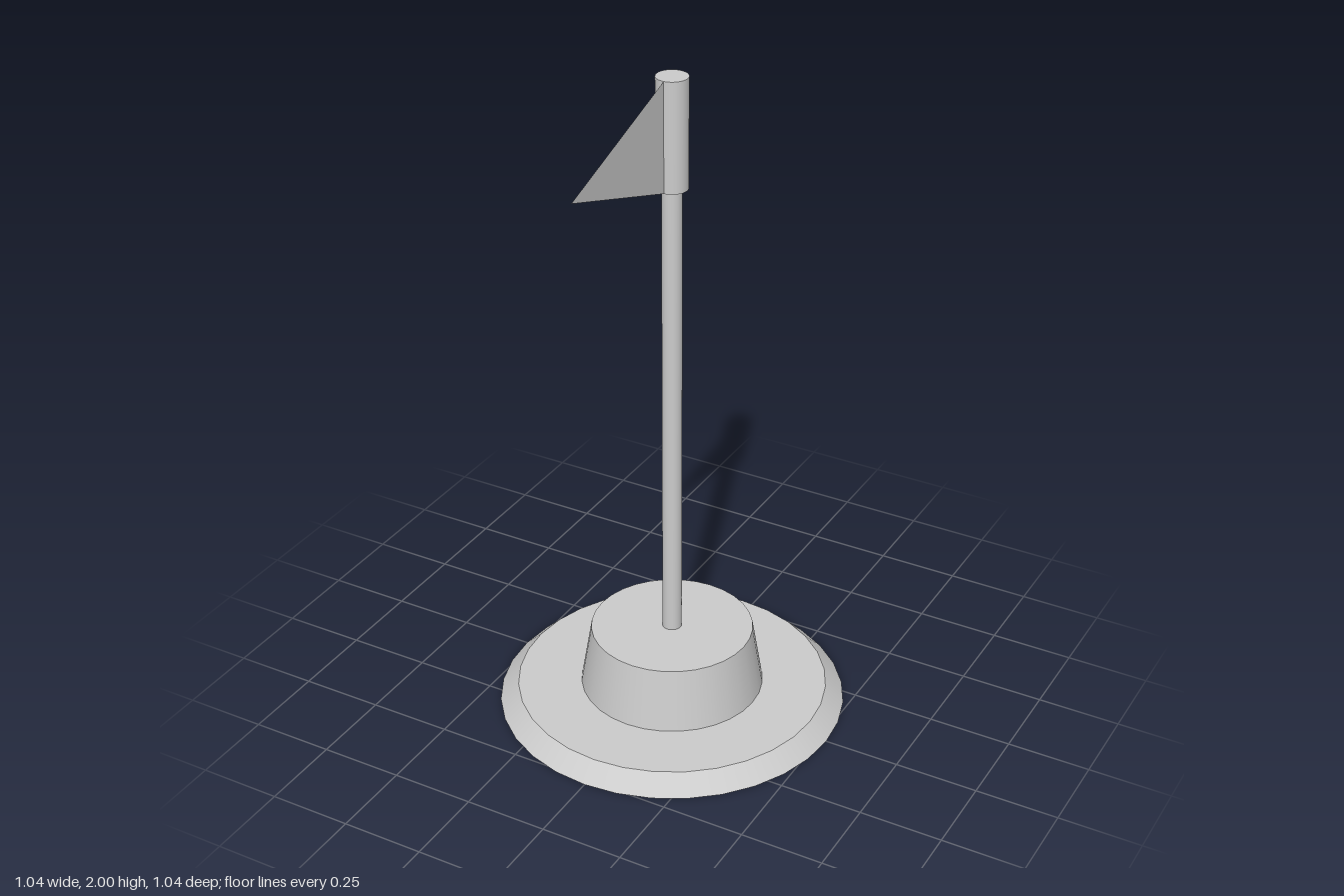
import * as THREE from 'three';

const material = new THREE.MeshStandardMaterial({ color: 0xcccccc });
const thinMaterial = new THREE.MeshStandardMaterial({ color: 0xcccccc, side: THREE.DoubleSide });

// Upright round part spanning y0 to y1
function roundPart(name, rTop, rBottom, y0, y1) {
  const mesh = new THREE.Mesh(new THREE.CylinderGeometry(rTop, rBottom, y1 - y0, 32), material);
  mesh.name = name;
  mesh.position.y = (y0 + y1) / 2;
  return mesh;
}

export function createModel() {
  const group = new THREE.Group();
  group.name = 'flagStand';

  // Stepped base, pole and the sleeve that holds the flag
  group.add(
    roundPart('basePlate', 0.467, 0.522, 0, 0.053),
    roundPart('basePlinth', 0.243, 0.275, 0.053, 0.245),
    roundPart('pole', 0.029, 0.029, 0.245, 1.677),
    roundPart('flagSleeve', 0.046, 0.046, 1.677, 2)
  );

  // Thin triangular pennant pointing to the front
  const pennant = new THREE.Shape([
    new THREE.Vector2(-0.045, 1.677),
    new THREE.Vector2(-0.045, 2),
    new THREE.Vector2(-0.522, 1.838)
  ]);
  const flag = new THREE.Mesh(new THREE.ShapeGeometry(pennant), thinMaterial);
  flag.name = 'flag';
  flag.rotation.y = Math.PI / 2;
  group.add(flag);

  return group;
}
